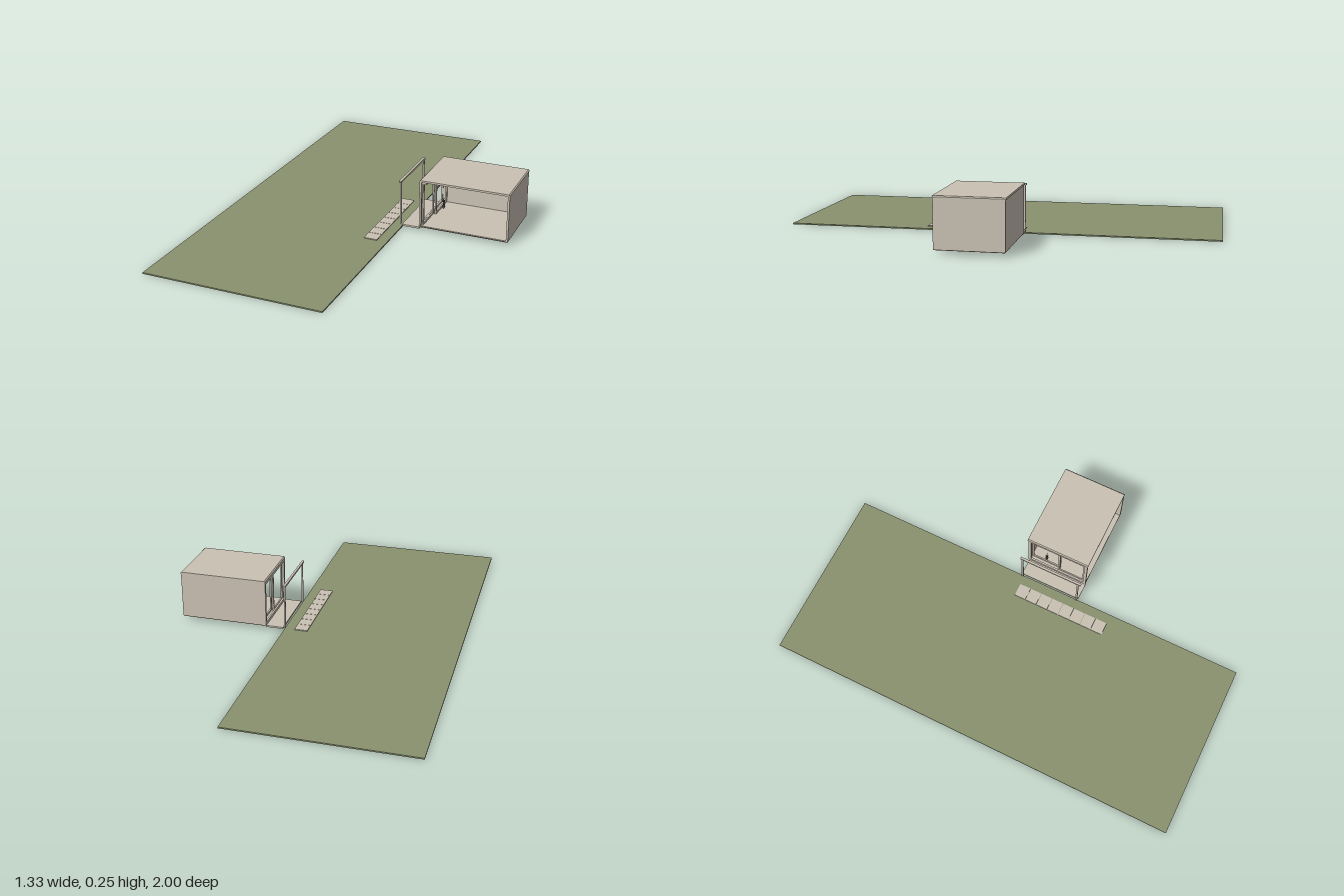
import * as THREE from 'three';

const mat = (name, color) => {
  const m = new THREE.MeshStandardMaterial({ color });
  m.name = name;
  return m;
};

export function createModel() {
  const model = new THREE.Group();
  const beige = mat('warm beige', 0xcbc2b4);
  const green = mat('lawn green', 0x89926f);
  const brown = mat('dark brown', 0x6f5a52);
  const dark = mat('dark grey', 0x55524c);

  // Box given by its lower and upper corners
  const box = (name, m, [x0, y0, z0], [x1, y1, z1], parent = model) => {
    const mesh = new THREE.Mesh(new THREE.BoxGeometry(x1 - x0, y1 - y0, z1 - z0), m);
    mesh.position.set((x0 + x1) / 2, (y0 + y1) / 2, (z0 + z1) / 2);
    mesh.name = name;
    parent.add(mesh);
    return mesh;
  };
  // Upright rectangular frame in the yz plane
  const frame = (name, x0, x1, y0, y1, z0, z1, w, sill = true) => {
    const g = new THREE.Group();
    g.name = name;
    box('jamb', beige, [x0, y0, z0], [x1, y1, z0 + w], g);
    box('jamb', beige, [x0, y0, z1 - w], [x1, y1, z1], g);
    box('header', beige, [x0, y1 - w, z0 + w], [x1, y1, z1 - w], g);
    if (sill) box('sill', beige, [x0, y0, z0 + w], [x1, y0 + w, z1 - w], g);
    model.add(g);
    return g;
  };

  // Lawn and the row of stepping stones
  box('lawn', green, [-0.667, 0, -1], [0.162, 0.006, 1]);
  for (let i = 0; i < 8; i++) {
    const z = -0.11 + i * 0.0577;
    box('steppingStone', beige, [0.052, 0.005, z], [0.114, 0.01, z + 0.0555]);
  }

  // Landing between lawn and room, with its gate-like rail
  box('landing', beige, [0.165, 0.011, -0.125], [0.248, 0.019, 0.175]);
  for (const z of [-0.118, 0.168]) {
    box('railPost', beige, [0.153, 0.019, z - 0.004], [0.16, 0.224, z + 0.004]);
  }
  box('topRail', beige, [0.151, 0.223, -0.127], [0.162, 0.232, 0.183]);

  // Room shell, open toward +z
  box('underfloor', brown, [0.249, 0.019, -0.13], [0.66, 0.0225, 0.173]);
  box('floor', beige, [0.251, 0.0225, -0.128], [0.657, 0.0255, 0.172]);
  box('backWall', beige, [0.249, 0.0225, -0.131], [0.657, 0.242, -0.122]);
  box('sideWall', beige, [0.652, 0.0225, -0.13], [0.661, 0.242, 0.174]);

  // Roof with small chamfered long edges
  const s = new THREE.Shape();
  s.moveTo(0.245, 0.239);
  [[0.662, 0.239], [0.662, 0.243], [0.657, 0.248], [0.25, 0.248], [0.245, 0.243]]
    .forEach(([x, y]) => s.lineTo(x, y));
  s.closePath();
  const roof = new THREE.Mesh(
    new THREE.ExtrudeGeometry(s, { depth: 0.311, bevelEnabled: false }), beige);
  roof.position.z = -0.135;
  roof.name = 'roof';
  model.add(roof);

  // Open entrance side: outer frame, then the sliding door frames behind it
  frame('entranceFrame', 0.246, 0.255, 0.02, 0.24, -0.131, 0.174, 0.014);
  frame('outerDoor', 0.257, 0.263, 0.026, 0.226, 0.022, 0.16, 0.009);
  frame('innerDoor', 0.269, 0.276, 0.026, 0.236, -0.122, 0.03, 0.009);
  box('doorTrack', beige, [0.255, 0.226, -0.122], [0.276, 0.239, 0.165]);

  // Little plant just inside the door
  const plant = new THREE.Group();
  plant.name = 'plant';
  plant.position.set(0.284, 0.0255, -0.05);
  const pot = new THREE.Mesh(new THREE.CylinderGeometry(0.007, 0.005, 0.016, 8), dark);
  pot.position.y = 0.008;
  pot.name = 'pot';
  plant.add(pot);
  for (let i = 0; i < 5; i++) {
    const leaf = new THREE.Mesh(new THREE.ConeGeometry(0.003, 0.04, 4), dark);
    const a = (i * Math.PI * 2) / 5;
    leaf.position.set(Math.cos(a) * 0.004, 0.034, Math.sin(a) * 0.004);
    leaf.rotation.set(Math.sin(a) * 0.25, 0, -Math.cos(a) * 0.25);
    leaf.name = 'leaf';
    plant.add(leaf);
  }
  model.add(plant);

  return model;
}
